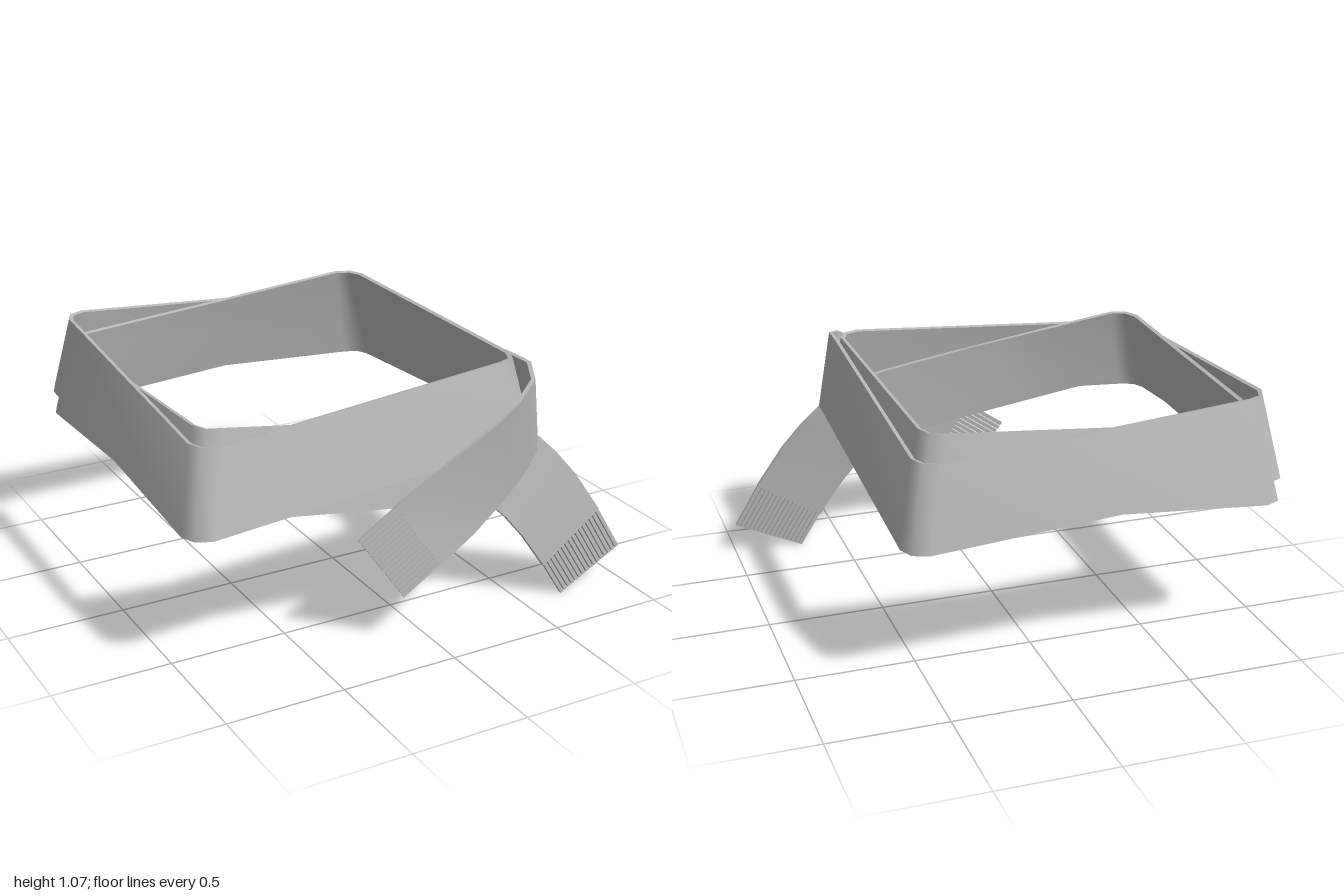
import * as THREE from 'three';
import { mergeGeometries, toCreasedNormals } from 'three/addons/utils/BufferGeometryUtils.js';

const V = (p) => new THREE.Vector3(...p);
const BAND = 0.34; // band height
const THICK = 0.018;

// Solid ribbon through stations { b, t } (lower and upper edge of the outer face)
function ribbon(stations, thick) {
  const n = stations.length, pos = [], idx = [];
  const mids = stations.map((s) => s.b.clone().add(s.t).multiplyScalar(0.5));
  stations.forEach((s, i) => {
    const tan = new THREE.Vector3();
    if (i > 0) tan.add(mids[i].clone().sub(mids[i - 1]).normalize());
    if (i < n - 1) tan.add(mids[i + 1].clone().sub(mids[i]).normalize());
    const inward = s.t.clone().sub(s.b).cross(tan).normalize().multiplyScalar(thick);
    for (const p of [s.b, s.t, s.t.clone().add(inward), s.b.clone().add(inward)]) pos.push(p.x, p.y, p.z);
  });
  for (let i = 0; i < n - 1; i++) {
    for (let k = 0; k < 4; k++) {
      const a = i * 4 + k, b = i * 4 + ((k + 1) % 4), c = a + 4, d = b + 4;
      idx.push(a, c, b, c, d, b);
    }
  }
  const e = (n - 1) * 4;
  idx.push(0, 1, 2, 0, 2, 3, e, e + 2, e + 1, e, e + 3, e + 2);
  const g = new THREE.BufferGeometry();
  g.setAttribute('position', new THREE.Float32BufferAttribute(pos, 3));
  g.setIndex(idx);
  return toCreasedNormals(g, 0.9);
}

// Rounded corner of the flared square; layer 0 is outside, layer 1 inside
function corner(sx, sz, top, layer) {
  const r = 0.09, k = 0.3 * r;
  const insets = [[0, r], [k, k], [r, 0]];
  if (sx * sz > 0) insets.reverse();
  const at = (y, [ix, iz]) => {
    const f = (1.07 - y) * 0.2 - layer * 0.022;
    const x = sx > 0 ? 0.53 + f : -0.92 - f;
    const z = sz > 0 ? 0.67 + f : -0.75 - f;
    return V([x - sx * ix, y, z - sz * iz]);
  };
  return insets.map((i) => ({ b: at(top - BAND, i), t: at(top, i) }));
}

const station = ([b, t]) => ({ b: V(b), t: V(t) });

// Strands continuing the cloth between two stations
function fringe(s0, s1, count) {
  const parts = [];
  for (let i = 0; i < count; i++) {
    const lo = (i + 0.12) / count, hi = (i + 0.88) / count;
    const cut = (s) => ({ b: s.b.clone().lerp(s.t, lo), t: s.b.clone().lerp(s.t, hi) });
    parts.push(ribbon([cut(s0), cut(s1)], 0.014));
  }
  return mergeGeometries(parts);
}

export function createModel() {
  const group = new THREE.Group();
  const cloth = new THREE.MeshStandardMaterial({ color: 0xb8b8b8 });
  cloth.name = 'grey cloth';

  // Outer tail, sweeping from its fringe up round the front corner
  const outerEnd = station([[-0.12, 0.21, 0.81], [-0.31, 0.49, 0.77]]);
  const outerTail = [
    [[0.04, 0.32, 0.82], [-0.15, 0.6, 0.78]],
    [[0.2, 0.42, 0.815], [0.05, 0.735, 0.81]],
    [[0.36, 0.52, 0.785], [0.25, 0.87, 0.84]],
    [[0.48, 0.6, 0.75], [0.38, 0.955, 0.835]],
    [[0.56, 0.665, 0.715], [0.48, 1.02, 0.79]],
    [[0.6, 0.715, 0.66], [0.535, 1.05, 0.68]],
    [[0.602, 0.715, 0.58], [0.536, 1.05, 0.58]],
  ].map(station);

  // Inner tail, slanting down behind the front and out past the corner
  const innerTail = [
    [[-0.18, 0.575, 0.725], [-0.14, 0.92, 0.675]],
    [[0.2, 0.515, 0.715], [0.3, 0.85, 0.668]],
    [[0.3, 0.5, 0.71], [0.48, 0.8, 0.668]],
    [[0.36, 0.46, 0.71], [0.6, 0.71, 0.672]],
    [[0.42, 0.4, 0.72], [0.68, 0.63, 0.69]],
    [[0.5, 0.3, 0.735], [0.77, 0.52, 0.71]],
    [[0.6, 0.15, 0.75], [0.89, 0.34, 0.73]],
  ].map(station);
  const innerEnd = station([[0.69, 0, 0.76], [1, 0.15, 0.745]]);

  // One strip wound twice round the square, from the outer to the inner tail
  const strip = [
    ...outerTail,
    ...corner(1, -1, 0.97, 0), ...corner(-1, -1, 1.07, 0), ...corner(-1, 1, 0.965, 0),
    ...corner(1, 1, 1.06, 1),
    ...corner(1, -1, 1.07, 1), ...corner(-1, -1, 0.97, 1), ...corner(-1, 1, 1.02, 1),
    ...innerTail,
  ];

  const add = (name, geometry) => {
    const mesh = new THREE.Mesh(geometry, cloth);
    mesh.name = name;
    group.add(mesh);
  };
  add('scarfBand', ribbon(strip, THICK));
  add('outerFringe', fringe(outerEnd, outerTail[0], 16));
  add('innerFringe', fringe(innerTail[innerTail.length - 1], innerEnd, 16));
  return group;
}
